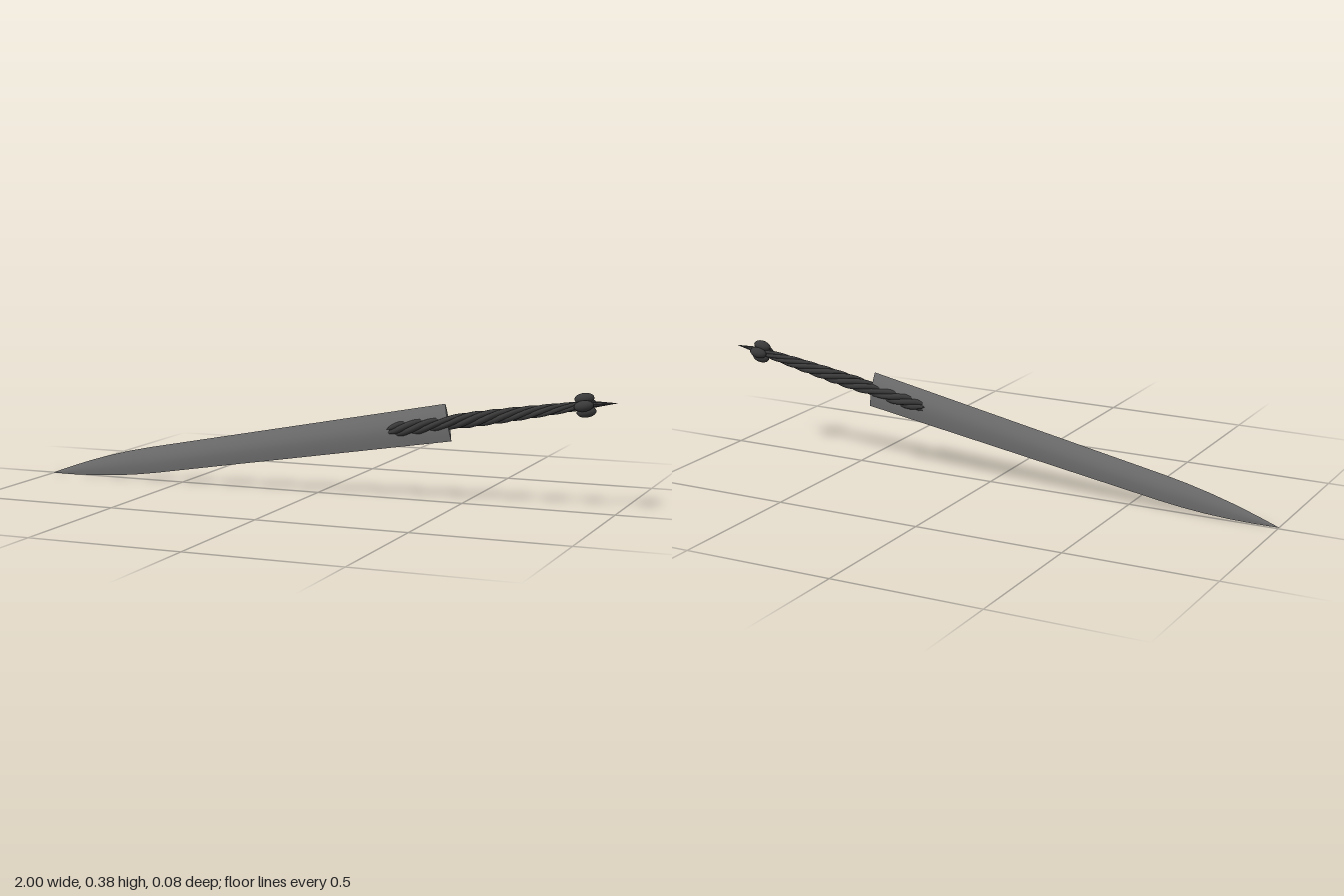
import * as THREE from 'three';

const bladeSteel = new THREE.MeshStandardMaterial({ color: 0x747474 });
bladeSteel.name = 'blade steel';
const darkIron = new THREE.MeshStandardMaterial({ color: 0x3a3a3a });
darkIron.name = 'dark iron';

// Linear interpolation through [position, value] pairs
function sample(table, s) {
  for (let i = 1; i < table.length; i++) {
    const [a, va] = table[i - 1], [b, vb] = table[i];
    if (s <= b) return THREE.MathUtils.lerp(va, vb, Math.max(0, (s - a) / (b - a)));
  }
  return table[table.length - 1][1];
}

function addMesh(parent, name, geometry, material) {
  const mesh = new THREE.Mesh(geometry, material);
  mesh.name = name;
  parent.add(mesh);
  return mesh;
}

// Lens-section blade: one smooth face per side, sharp edges, flat butt
const bladeWidth = [[0, 0.0005], [0.08, 0.015], [0.16, 0.027], [0.24, 0.036], [0.32, 0.042], [0.4, 0.045], [1.475, 0.061]];
const bladeThickness = [[0, 0.0004], [0.32, 0.006], [1.475, 0.0095]];

function bladeSide(side) {
  const across = 6, pos = [], index = [];
  const stations = bladeWidth.map(([s]) => s);
  stations.forEach((s) => {
    const w = sample(bladeWidth, s), t = sample(bladeThickness, s);
    for (let j = 0; j <= across; j++) {
      const u = -1 + (2 * j) / across;
      pos.push(s, u * w, side * t * (1 - Math.pow(Math.abs(u), 1.6)));
    }
  });
  const row = across + 1;
  for (let i = 0; i < stations.length - 1; i++) {
    for (let j = 0; j < across; j++) {
      const a = i * row + j, b = a + row, c = b + 1, d = a + 1;
      if (side > 0) index.push(a, b, c, a, c, d);
      else index.push(a, c, b, a, d, c);
    }
  }
  const g = new THREE.BufferGeometry();
  g.setAttribute('position', new THREE.Float32BufferAttribute(pos, 3));
  g.setIndex(index);
  g.computeVertexNormals();
  return g;
}

function bladeButt() {
  const shape = new THREE.Shape();
  shape.moveTo(-0.061, 0);
  shape.quadraticCurveTo(0, 0.019, 0.061, 0);
  shape.quadraticCurveTo(0, -0.019, -0.061, 0);
  const g = new THREE.ShapeGeometry(shape, 6);
  g.rotateZ(Math.PI / 2);
  g.rotateY(Math.PI / 2);
  // Shape x becomes blade height, shape y becomes thickness
  g.rotateX(Math.PI);
  g.translate(1.475, 0, 0);
  return g;
}

// Outer radius of the twisted grip along its length
const gripRadius = [[1.27, 0.017], [1.31, 0.025], [1.38, 0.025], [1.45, 0.021], [1.54, 0.025], [1.64, 0.024], [1.78, 0.02], [1.92, 0.014]];

function gripStrand(phase) {
  const start = 1.265, end = 1.925, pitch = 0.3, segments = 72, radial = 8;
  const points = [];
  for (let i = 0; i <= 60; i++) {
    const s = start + ((end - start) * i) / 60;
    const angle = phase - ((s - start) / pitch) * Math.PI * 2;
    const r = sample(gripRadius, s) * 0.6;
    points.push(new THREE.Vector3(s, r * Math.cos(angle), r * Math.sin(angle)));
  }
  const path = new THREE.CatmullRomCurve3(points);
  const g = new THREE.TubeGeometry(path, segments, 1, radial);
  // Scale each ring to the local strand thickness and round off the ends
  const p = g.attributes.position, v = new THREE.Vector3();
  for (let i = 0; i <= segments; i++) {
    const c = path.getPointAt(i / segments);
    const fromEnd = Math.min(i, segments - i) / 3;
    const round = fromEnd < 1 ? Math.sqrt(1 - (1 - fromEnd) ** 2) : 1;
    const r = sample(gripRadius, c.x) * 0.42 * round;
    for (let j = 0; j <= radial; j++) {
      const k = i * (radial + 1) + j;
      v.fromBufferAttribute(p, k).sub(c).multiplyScalar(r).add(c);
      p.setXYZ(k, v.x, v.y, v.z);
    }
  }
  return g;
}

// Fluted spike with star-shaped cross-section
function spikeGeometry() {
  const g = new THREE.ConeGeometry(0.013, 0.095, 16, 1);
  const p = g.attributes.position;
  for (let i = 0; i < p.count; i++) {
    const a = Math.atan2(p.getZ(i), p.getX(i));
    const k = 0.8 + 0.2 * Math.cos(a * 8);
    p.setXYZ(i, p.getX(i) * k, p.getY(i), p.getZ(i) * k);
  }
  g.computeVertexNormals();
  g.rotateZ(-Math.PI / 2);
  return g;
}

export function createModel() {
  const model = new THREE.Group();
  model.name = 'sword';

  // Built along +x from the blade tip, then tilted upward
  const sword = new THREE.Group();
  sword.name = 'tiltedSword';
  sword.position.set(-1, 0, 0.009);
  sword.rotation.set(0, 0.0045, THREE.MathUtils.degToRad(10.1));
  model.add(sword);

  const blade = new THREE.Group();
  blade.name = 'blade';
  sword.add(blade);
  addMesh(blade, 'bladeFront', bladeSide(1), bladeSteel);
  addMesh(blade, 'bladeBack', bladeSide(-1), bladeSteel);
  addMesh(blade, 'bladeButt', bladeButt(), bladeSteel);

  // Twisted grip of five strands
  const grip = new THREE.Group();
  grip.name = 'grip';
  sword.add(grip);
  for (let i = 0; i < 5; i++) {
    addMesh(grip, 'gripStrand', gripStrand((i / 5) * Math.PI * 2), darkIron);
  }

  // Pommel of four lobes with a spike
  const pommel = new THREE.Group();
  pommel.name = 'pommel';
  pommel.position.set(1.928, 0, 0);
  sword.add(pommel);
  const lobe = new THREE.SphereGeometry(1, 16, 12);
  for (let i = 0; i < 4; i++) {
    const a = (i * Math.PI) / 2;
    const m = addMesh(pommel, 'pommelLobe', lobe, darkIron);
    m.position.set(0, 0.021 * Math.cos(a), 0.021 * Math.sin(a));
    m.scale.set(0.032, 0.0175, 0.0175);
  }
  const core = addMesh(pommel, 'pommelCore', lobe, darkIron);
  core.scale.set(0.03, 0.013, 0.013);
  const spike = addMesh(pommel, 'spike', spikeGeometry(), darkIron);
  spike.position.set(0.056, -0.003, 0);
  spike.rotation.z = -0.08;

  return model;
}
